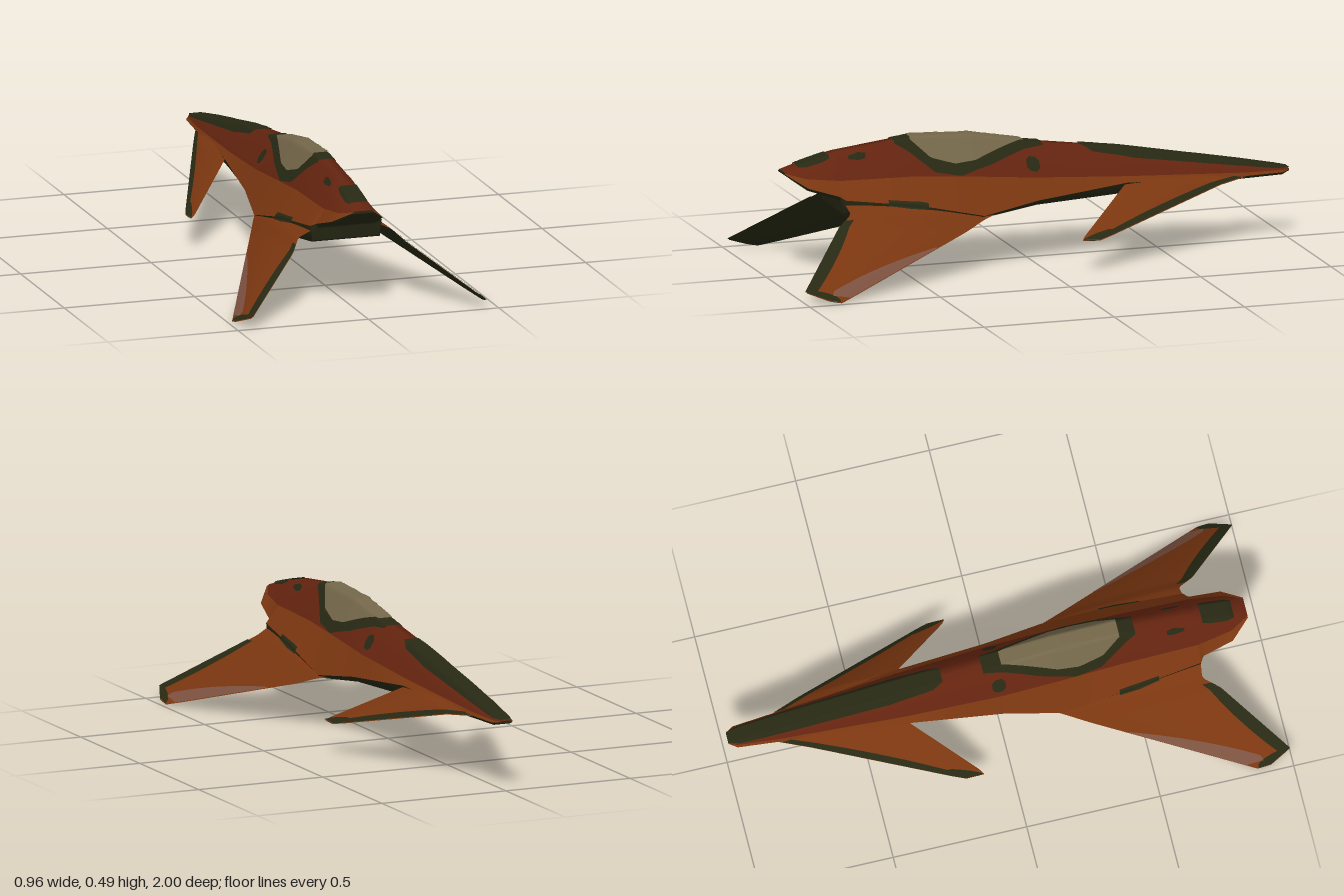
import * as THREE from 'three';

const paint = (name, color, side = THREE.FrontSide) => {
  const m = new THREE.MeshStandardMaterial({ color, side });
  m.name = name;
  return m;
};
const lerp = THREE.MathUtils.lerp;

// Hull stations: z, top half width + y, shoulder x + y, chine x + y, belly half width + y
const STATIONS = [
  [-1.00, 0.020, 0.264, 0.021, 0.262, 0.022, 0.259, 0.018, 0.255],
  [-0.97, 0.025, 0.271, 0.035, 0.262, 0.042, 0.255, 0.035, 0.246],
  [-0.82, 0.030, 0.301, 0.050, 0.267, 0.056, 0.255, 0.048, 0.245],
  [-0.35, 0.030, 0.388, 0.085, 0.297, 0.105, 0.277, 0.085, 0.236],
  [0.00, 0.030, 0.436, 0.100, 0.322, 0.140, 0.245, 0.120, 0.225],
  [0.22, 0.030, 0.476, 0.100, 0.342, 0.178, 0.212, 0.155, 0.199],
  [0.46, 0.030, 0.486, 0.095, 0.360, 0.165, 0.265, 0.155, 0.203],
  [0.74, 0.030, 0.452, 0.090, 0.363, 0.138, 0.300, 0.130, 0.240],
  [0.755, 0.030, 0.449, 0.088, 0.364, 0.118, 0.310, 0.110, 0.298],
  [0.87, 0.030, 0.418, 0.070, 0.375, 0.098, 0.345, 0.085, 0.335],
  [0.94, 0.030, 0.396, 0.034, 0.393, 0.040, 0.390, 0.034, 0.386],
];

// Linear lookup in a table whose first column is the key
function lookup(table, key) {
  let i = 0;
  while (i < table.length - 2 && key > table[i + 1][0]) i++;
  const a = table[i], b = table[i + 1];
  const t = THREE.MathUtils.clamp((key - a[0]) / (b[0] - a[0]), 0, 1);
  return a.map((v, k) => lerp(v, b[k], t));
}

// Wing ribs: x, leading edge z + y, trailing edge z + y
const WING = [
  [0.10, 0.06, 0.235, 0.745, 0.300],
  [0.18, 0.22, 0.200, 0.735, 0.258],
  [0.22, 0.305, 0.168, 0.795, 0.218],
  [0.445, 0.795, 0.024, 1.0, 0.044],
  [0.48, 0.87, 0.003, 0.92, 0.014],
];
const CANARD = [
  [0.04, -0.86, 0.256, -0.30, 0.295],
  [0.10, -0.71, 0.240, -0.345, 0.272],
  [0.290, -0.23, 0.130, -0.125, 0.134],
  [0.308, -0.18, 0.120, -0.112, 0.123],
];
function foil(ribs, x, f, bulge) {
  const [, z0, y0, z1, y1] = lookup(ribs, x);
  return [x, lerp(y0, y1, f) + bulge * 4 * f * (1 - f) * (z1 - z0), lerp(z0, z1, f)];
}

// Height of the upper skin over any point of the plan
function skinY(x, z) {
  const ax = Math.abs(x), s = lookup(STATIONS, z);
  const profile = [[0, s[2]], [s[1], s[2]], [s[3], s[4]], [s[5], s[6]]];
  let y = ax <= s[5] + 0.001 ? lookup(profile, ax)[1] : 0;
  const w = lookup(WING, ax);
  if (ax > 0.1 && z >= w[1] && z <= w[3]) {
    y = Math.max(y, foil(WING, ax, (z - w[1]) / (w[3] - w[1]), 0.03)[1]);
  }
  return y;
}

// Grid surface; u runs towards +x, v towards +z when seen from above
function surface(group, name, mat, fn, nu, nv, side = 1, flip = false) {
  const pos = [], index = [];
  for (let j = 0; j <= nv; j++) {
    for (let i = 0; i <= nu; i++) {
      const [x, y, z] = fn(i / nu, j / nv);
      pos.push(x * side, y, z);
    }
  }
  const reversed = flip !== (side < 0);
  for (let j = 0; j < nv; j++) {
    for (let i = 0; i < nu; i++) {
      const a = j * (nu + 1) + i, b = a + 1, d = a + nu + 1, e = d + 1;
      index.push(...(reversed ? [a, b, d, b, e, d] : [a, d, b, b, d, e]));
    }
  }
  const g = new THREE.BufferGeometry();
  g.setAttribute('position', new THREE.Float32BufferAttribute(pos, 3));
  g.setIndex(index);
  g.computeVertexNormals();
  const mesh = new THREE.Mesh(g, mat);
  mesh.name = name;
  group.add(mesh);
}

export function createModel() {
  const root = new THREE.Group();
  root.name = 'spacecraft';
  const rust = paint('rust red', 0x64240f);
  const orange = paint('burnt orange', 0x7a3610);
  const dark = paint('dark olive', 0x272914, THREE.DoubleSide);
  const glass = paint('canopy tan', 0x74674a);
  const stripe = paint('pale brown', 0x7c5140);
  const grey = paint('panel grey', 0x8e8e8e);

  // Strip of hull between chosen section points
  const hullStrip = (name, mat, pick, side, flip) => {
    const n = pick(STATIONS[0]).length - 1, rows = 8 * (STATIONS.length - 1);
    surface(root, name, mat, (u, v) => {
      const k = v * (STATIONS.length - 1), i = Math.min(Math.floor(k + 1e-9), STATIONS.length - 2);
      const s = lookup(STATIONS, lerp(STATIONS[i][0], STATIONS[i + 1][0], k - i));
      const [x, y] = pick(s)[Math.round(u * n)];
      return [x, y, s[0]];
    }, n, rows, side, flip);
  };
  hullStrip('upperHull', rust,
    (s) => [[-s[3], s[4]], [-s[1], s[2]], [0, s[2]], [s[1], s[2]], [s[3], s[4]]]);
  hullStrip('belly', dark,
    (s) => [[-s[5], s[6]], [-s[7], s[8]], [0, s[8]], [s[7], s[8]], [s[5], s[6]]], 1, true);

  // End caps
  for (const [name, z, flip] of [['noseCap', -1, true], ['tailCap', 0.94, false]]) {
    const s = lookup(STATIONS, z);
    surface(root, name, dark, (u, v) => {
      const x = lerp(-s[5], s[5], u);
      return [x, lerp(skinY(x, z), s[8], v), z];
    }, 8, 1, 1, flip);
  }

  // Thin painted plate following the skin; rows are z, inner x, outer x
  const plate = (name, mat, rows, side = 1, lift = 0.005) => {
    const z0 = rows[0][0], z1 = rows[rows.length - 1][0];
    surface(root, name, mat, (u, v) => {
      const [z, a, b] = lookup(rows, lerp(z0, z1, v));
      const x = lerp(a, b, u);
      return [x, skinY(x, z) + lift, z];
    }, 20, 40, side);
  };
  const centred = (rows) => rows.map(([z, w]) => [z, -w, w]);

  plate('noseStripe', dark, centred([[-1, 0.021], [-0.96, 0.034], [-0.8, 0.04], [-0.4, 0.048], [-0.24, 0.042], [-0.2, 0.028]]));
  plate('canopyFrame', dark, centred([[-0.05, 0.035], [0.02, 0.045], [0.16, 0.08], [0.28, 0.1], [0.38, 0.092], [0.48, 0.05], [0.52, 0.035]]));
  plate('canopyGlass', glass, centred([[0.02, 0.026], [0.1, 0.045], [0.22, 0.075], [0.3, 0.08], [0.39, 0.068], [0.46, 0.035]]), 1, 0.009);
  plate('tailPatch', dark, centred([[0.77, 0.038], [0.8, 0.042], [0.86, 0.042], [0.89, 0.035]]));

  // Belly panel
  const panel = [[0.25, 0.035], [0.29, 0.065], [0.46, 0.065], [0.5, 0.035]];
  surface(root, 'bellyPanel', grey, (u, v) => {
    const [z, w] = lookup(panel, lerp(0.25, 0.5, v));
    return [lerp(-w, w, u), lookup(STATIONS, z)[8] - 0.004, z];
  }, 4, 24, 1, true);

  for (const side of [1, -1]) {
    const tag = side > 0 ? 'left' : 'right';
    hullStrip(tag + 'Flank', orange, (s) => [[s[3], s[4]], [s[5], s[6]]], side);

    // Foil with upper and lower skins, plus painted bands given as
    // [x0, x1, chord fractions at x0, chord fractions at x1]
    const lifting = (name, ribs, bands) => {
      const x0 = ribs[0][0], x1 = ribs[ribs.length - 1][0];
      const skin = (label, mat, a, b, fa, fb, bulge, lift, flip) =>
        surface(root, tag + label, mat, (u, v) => {
          const f = lerp(lerp(fa[0], fb[0], u), lerp(fa[1], fb[1], u), v);
          const p = foil(ribs, lerp(a, b, u), f, bulge);
          p[1] += lift;
          return p;
        }, 36, 14, side, flip);
      skin(name + 'Top', orange, x0, x1, [0, 1], [0, 1], 0.03, 0, false);
      skin(name + 'Underside', dark, x0, x1, [0, 1], [0, 1], -0.012, 0, true);
      for (const [label, mat, a, b, fa, fb] of bands) {
        skin(name + label, mat, a, b, fa, fb, 0.03, 0.003, false);
      }
    };
    lifting('Wing', WING, [
      ['LeadingStripe', stripe, 0.28, 0.462, [0, 0.02], [0, 0.5]],
      ['TrailingBand', dark, 0.2, 0.445, [0.93, 1], [0.76, 1]],
      ['TipBand', dark, 0.445, 0.48, [0.76, 1], [0.1, 1]],
    ]);
    lifting('Canard', CANARD, [
      ['LeadingBand', dark, 0.06, 0.27, [0, 0.07], [0, 0.3]],
      ['TipBand', dark, 0.27, 0.308, [0, 0.4], [0, 1]],
    ]);

    // Small markings
    plate(tag + 'WingSlot', dark, [[0.43, 0.16, 0.172], [0.5, 0.155, 0.17], [0.58, 0.148, 0.158]], side);
    plate(tag + 'NosePort', dark, [[-0.025, 0.068, 0.082], [-0.012, 0.06, 0.09], [0.012, 0.06, 0.09], [0.025, 0.068, 0.082]], side);
    plate(tag + 'TailPort', dark, [[0.635, 0.042, 0.052], [0.66, 0.038, 0.054], [0.7, 0.042, 0.05]], side);
  }
  return root;
}
